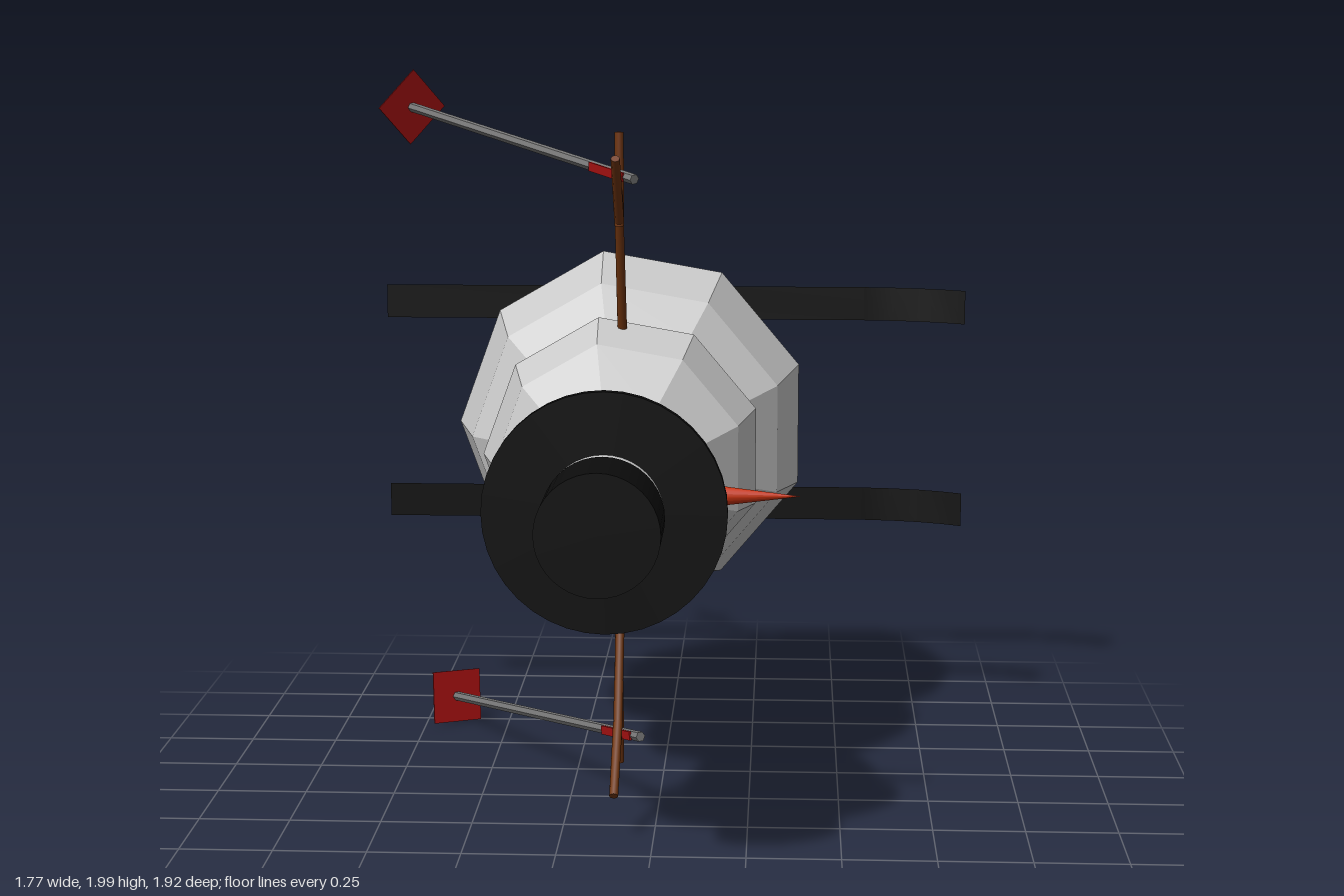
import * as THREE from 'three';

const CX = -0.105, CY = 0.968; // body axis, running along z

const mat = (color, opts = {}) => new THREE.MeshStandardMaterial({ color, ...opts });
const snow = mat(0xcccccc, { flatShading: true });
const black = mat(0x0c0c0c);
const blackThin = mat(0x0c0c0c, { side: THREE.DoubleSide });
const bandGrey = mat(0xcccccc);
const metal = mat(0x777777, { flatShading: true });
const red = mat(0xa01010, { side: THREE.DoubleSide });
const wood = mat(0x70350f);
const carrot = mat(0xc8320f);

const V = (x, y, z) => new THREE.Vector3(x, y, z);

function add(parent, name, geometry, material) {
  const mesh = new THREE.Mesh(geometry, material);
  mesh.name = name;
  parent.add(mesh);
  return mesh;
}

// Round bar between two points
function bar(parent, name, a, b, r0, r1, sides, material) {
  const dir = b.clone().sub(a);
  const mesh = add(parent, name, new THREE.CylinderGeometry(r1, r0, dir.length(), sides), material);
  mesh.position.copy(a).lerp(b, 0.5);
  mesh.quaternion.setFromUnitVectors(V(0, 1, 0), dir.normalize());
  return mesh;
}

// Nine-sided solid turned around the body axis, profile as [radius, z]
function turned(parent, name, profile) {
  const pts = profile.map(([r, z]) => new THREE.Vector2(r, z));
  const g = new THREE.LatheGeometry(pts, 9, -Math.PI / 2).rotateX(Math.PI / 2);
  add(parent, name, g, snow).position.set(CX, CY, 0);
}

// Disc or drum on the body axis
function drum(parent, name, r, z0, z1, material) {
  const g = new THREE.CylinderGeometry(r, r, z1 - z0, 40).rotateX(Math.PI / 2);
  add(parent, name, g, material).position.set(CX, CY, (z0 + z1) / 2);
}

// Stick arm: a list of [y, z] to [y, z] twigs
function arm(parent, name, twigs) {
  const group = new THREE.Group();
  group.name = name;
  for (const [y0, z0, y1, z1] of twigs)
    bar(group, 'twig', V(CX, y0, z0), V(CX, y1, z1), 0.013, 0.012, 8, wood);
  parent.add(group);
}

// Pole with a square basket near its tip and a strap on the grip
function pole(parent, name, top, tip, basketAt, roll) {
  const group = new THREE.Group();
  group.name = name;
  bar(group, 'shaft', top, tip, 0.014, 0.014, 6, metal);
  const basket = add(group, 'basket', new THREE.BoxGeometry(0.157, 0.157, 0.004), red);
  basket.position.copy(top).lerp(tip, basketAt);
  basket.lookAt(tip);
  basket.rotateZ(roll);
  const strap = add(group, 'gripStrap', new THREE.BoxGeometry(0.006, 0.024, 0.16), red);
  const side = tip.clone().sub(top).cross(V(0, 1, 0)).normalize();
  if (side.x > 0) side.negate();
  strap.position.copy(top).lerp(tip, 0.09);
  strap.lookAt(tip);
  strap.position.addScaledVector(side, 0.013);
  parent.add(group);
}

// Thin ski strip with an upturned tip
function ski(parent, name, y) {
  const path = [[-0.888, -0.96], [0.58, -0.96], [0.67, -0.951], [0.75, -0.935], [0.82, -0.911], [0.883, -0.88]];
  const pos = [], idx = [];
  path.forEach(([x, z], i) => {
    pos.push(x, y - 0.051, z, x, y + 0.051, z);
    const k = 2 * i;
    if (i) idx.push(k - 2, k, k - 1, k, k + 1, k - 1);
  });
  const g = new THREE.BufferGeometry();
  g.setAttribute('position', new THREE.Float32BufferAttribute(pos, 3));
  g.setIndex(idx);
  g.computeVertexNormals();
  add(parent, name, g, blackThin);
}

export function createModel() {
  const model = new THREE.Group();
  model.name = 'skiingSnowman';

  // Three snowballs
  turned(model, 'lowerBody', [[0, -0.957], [0.255, -0.957], [0.452, -0.87], [0.517, -0.61], [0.452, -0.35], [0.35, -0.25], [0, -0.22]]);
  turned(model, 'upperBody', [[0, -0.3], [0.35, -0.25], [0.39, -0.09], [0.342, 0.1], [0.195, 0.25], [0, 0.27]]);
  turned(model, 'head', [[0, 0.26], [0.135, 0.265], [0.228, 0.345], [0.26, 0.485], [0.226, 0.62], [0.14, 0.69], [0, 0.695]]);

  // Hat
  drum(model, 'hatBrim', 0.308, 0.678, 0.705, black);
  drum(model, 'hatBand', 0.15, 0.7, 0.755, bandGrey);
  drum(model, 'hatCrown', 0.154, 0.75, 0.96, black);

  // Face
  for (const s of [1, -1]) {
    const eye = add(model, s > 0 ? 'upperEye' : 'lowerEye', new THREE.SphereGeometry(0.036, 16, 12), black);
    eye.scale.x = 0.4;
    eye.position.set(0.094, CY + s * 0.116, 0.56);
    eye.rotation.z = s * THREE.MathUtils.degToRad(36);
  }
  bar(model, 'nose', V(0.1, CY, 0.465), V(0.383, CY, 0.462), 0.036, 0.0005, 16, carrot);

  // Arms
  arm(model, 'upperArm', [
    [1.31, -0.055, 1.64, 0.072], [1.62, 0.07, 1.87, 0.067],
    [1.63, 0.07, 1.812, 0.23], [1.63, 0.07, 1.72, 0.112],
  ]);
  arm(model, 'lowerArm', [
    [0.645, 0.04, 0.375, 0.147], [0.385, 0.143, 0.235, 0.205],
    [0.38, 0.145, 0.145, 0.112], [0.28, 0.19, 0.13, 0.372],
  ]);

  // Poles
  pole(model, 'upperPole', V(-0.057, 1.755, 0.195), V(-0.833, 1.9, -0.81), 0.918, Math.PI / 4);
  pole(model, 'lowerPole', V(-0.04, 0.257, 0.245), V(-0.72, 0.073, -0.81), 0.91, 0.05);

  // Skis
  ski(model, 'upperSki', 1.28);
  ski(model, 'lowerSki', 0.655);

  return model;
}
